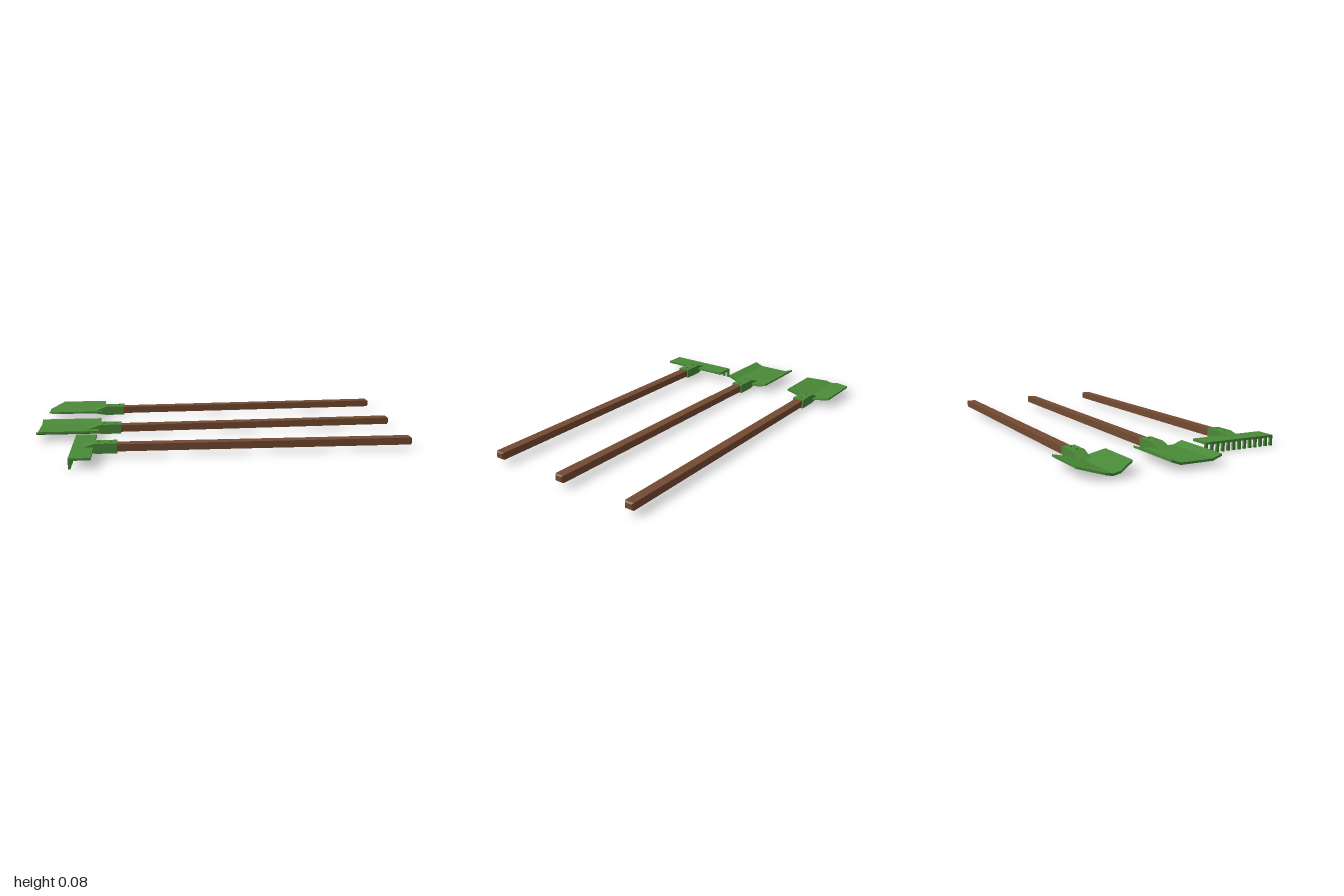
import * as THREE from 'three';

const green = new THREE.MeshStandardMaterial({ color: 0x4a8a38, flatShading: true });
const brown = new THREE.MeshStandardMaterial({ color: 0x744a31, flatShading: true });

function mesh(name, geometry, material, x = 0, y = 0, z = 0) {
  const m = new THREE.Mesh(geometry, material);
  m.name = name;
  m.position.set(x, y, z);
  return m;
}

// Wooden shaft with a chamfered far end, running from the socket to x = 1
function handle(startY) {
  const x0 = -0.56, x1 = 1, endY = 0.046;
  const g = new THREE.BoxGeometry(1, 0.038, 0.05, 2, 1, 1);
  const p = g.attributes.position;
  for (let i = 0; i < p.count; i++) {
    const px = p.getX(i);
    const end = px > 0.25, middle = Math.abs(px) < 0.25;
    const x = end ? x1 : middle ? x1 - 0.008 : x0;
    const s = end ? 0.72 : 1;
    const centre = THREE.MathUtils.mapLinear(x, x0, x1, startY, endY);
    p.setXYZ(i, x, centre + p.getY(i) * s, p.getZ(i) * s);
  }
  g.computeVertexNormals();
  return mesh('handle', g, brown);
}

// Square socket whose front narrows to a wedge meeting the head, with rivets
function socket(centreY, headY) {
  const group = new THREE.Group();
  group.name = 'socket';
  const h = 0.0265, w = 0.068;
  const shape = new THREE.Shape([
    [-0.545, centreY - h], [-0.545, centreY + h], [-0.655, centreY + h],
    [-0.745, headY], [-0.655, centreY - h],
  ].map(([x, y]) => new THREE.Vector2(x, y)));
  const g = new THREE.ExtrudeGeometry(shape, { depth: w, bevelEnabled: false });
  group.add(mesh('socketBody', g, green, 0, 0, -w / 2));
  for (const x of [-0.64, -0.577]) {
    const rivet = new THREE.CylinderGeometry(0.006, 0.006, 0.012, 8);
    group.add(mesh('rivet', rivet, green, x, centreY + h, 0));
  }
  return group;
}

// Bent sheet blade; each station is [z, tip x, underside y] across the width
function blade(stations) {
  const n = stations.length - 1, thickness = 0.011;
  const g = new THREE.BoxGeometry(1, 1, 1, 1, 1, n);
  const p = g.attributes.position;
  for (let i = 0; i < p.count; i++) {
    const [z, tipX, y] = stations[Math.round((p.getZ(i) + 0.5) * n)];
    p.setXYZ(i, p.getX(i) < 0 ? tipX : -0.665, p.getY(i) > 0 ? y + thickness : y, z);
  }
  g.computeVertexNormals();
  return mesh('blade', g, green);
}

// Flat plate with a row of teeth along its front edge
function rakeHead() {
  const group = new THREE.Group();
  group.name = 'rakeHead';
  const width = 0.415, teeth = 13, toothWidth = 0.015;
  group.add(mesh('rakePlate', new THREE.BoxGeometry(0.11, 0.012, width), green, -0.72, 0.049, 0));
  for (let i = 0; i < teeth; i++) {
    const z = (i / (teeth - 1) - 0.5) * (width - toothWidth);
    const g = new THREE.BoxGeometry(0.012, 0.046, toothWidth);
    group.add(mesh('rakeTooth', g, green, -0.769, 0.023, z));
  }
  return group;
}

function tool(name, z, socketY, headY, head) {
  const group = new THREE.Group();
  group.name = name;
  group.position.z = z;
  group.add(handle(socketY), socket(socketY, headY), head);
  return group;
}

export function createModel() {
  const model = new THREE.Group();
  model.name = 'gardenTools';

  const pointed = blade([
    [-0.137, -0.925, 0.045], [-0.037, -1, 0.023], [0, -1, 0.015],
    [0.037, -1, 0.023], [0.137, -0.925, 0.045],
  ]);
  const square = blade([
    [-0.137, -1, 0.043], [-0.087, -1, 0.025], [0.087, -1, 0.025], [0.137, -1, 0.043],
  ]);

  model.add(
    tool('pointedShovel', -0.456, 0.0335, 0.021, pointed),
    tool('squareShovel', -0.029, 0.0335, 0.031, square),
    tool('rake', 0.384, 0.047, 0.049, rakeHead()),
  );
  return model;
}
